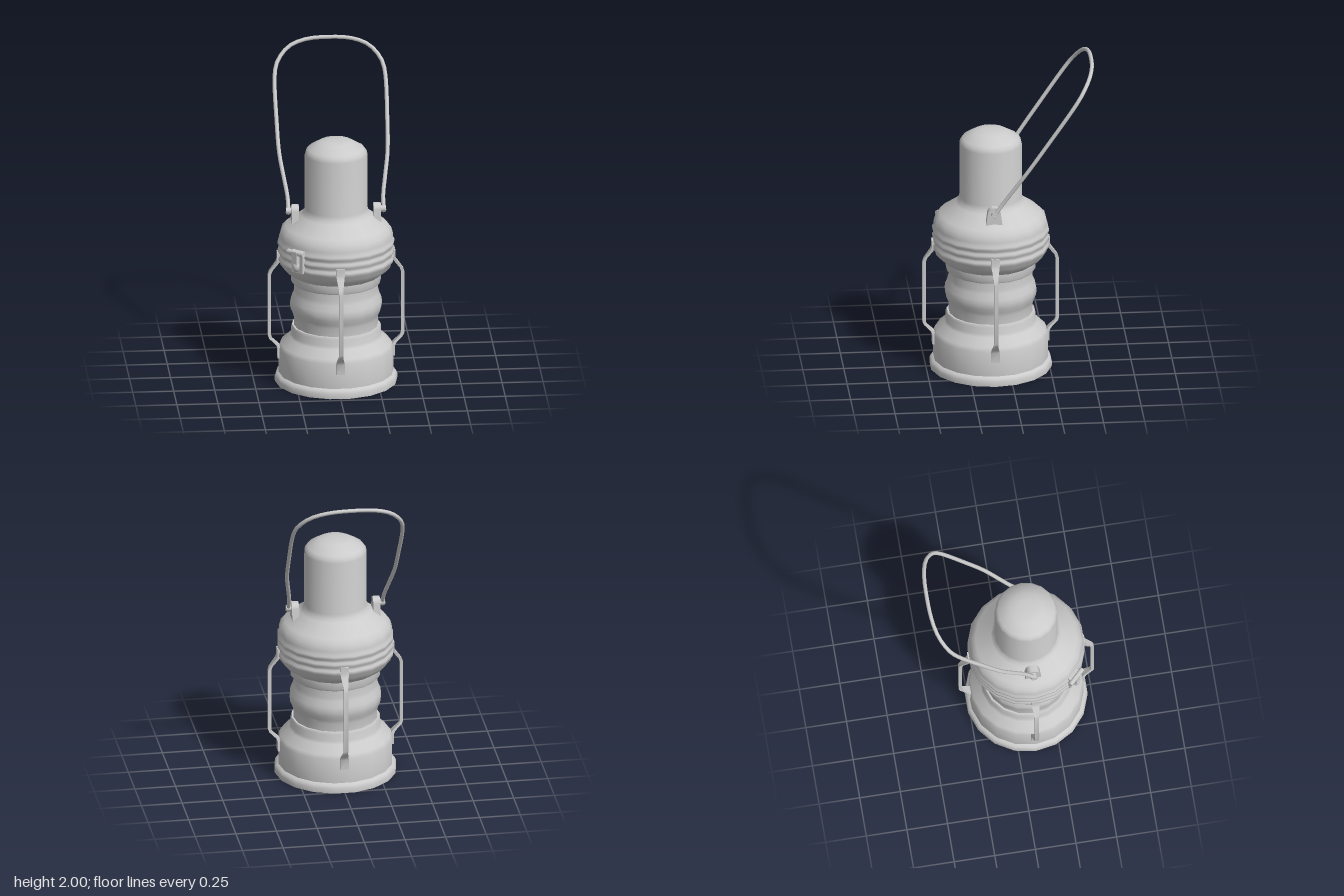
import * as THREE from 'three';
import { toCreasedNormals } from 'three/addons/utils/BufferGeometryUtils.js';

const material = new THREE.MeshStandardMaterial({ color: 0xcccccc });
const AXIS_Z = 0.105; // the lantern body stands forward of the tilted handle
const SIDES = 18;

function add(parent, name, geometry, x = 0, y = 0, z = 0) {
  const mesh = new THREE.Mesh(geometry, material);
  mesh.name = name;
  mesh.position.set(x, y, z);
  parent.add(mesh);
  return mesh;
}

// Turned part from [radius, height] pairs, listed bottom to top
function turned(profile) {
  const points = profile.map(([r, y]) => new THREE.Vector2(r, y));
  return toCreasedNormals(new THREE.LatheGeometry(points, SIDES, Math.PI / 2), 0.75);
}

// Flat bar bent outward: stations of [radius, height, width]
function guardBar(stations, thickness) {
  const last = stations.length - 1;
  const geometry = new THREE.BoxGeometry(1, 1, 1, 1, last, 1);
  const p = geometry.attributes.position;
  for (let i = 0; i < p.count; i++) {
    const [r, y, w] = stations[Math.round((p.getY(i) + 0.5) * last)];
    p.setXYZ(i, p.getX(i) * w, y, r + p.getZ(i) * thickness);
  }
  return toCreasedNormals(geometry, 0.5);
}

export function createModel() {
  const model = new THREE.Group();
  model.name = 'lantern';
  const body = new THREE.Group();
  body.name = 'body';
  body.position.z = AXIS_Z;
  model.add(body);

  // Base with foot rim and shoulder
  add(body, 'base', turned([
    [0, 0], [0.373, 0], [0.374, 0.03], [0.366, 0.048], [0.35, 0.058],
    [0.35, 0.215], [0.338, 0.24], [0.285, 0.287], [0.275, 0.305],
    [0.275, 0.345], [0.268, 0.36], [0.24, 0.36],
  ]));

  // Bulging glass
  add(body, 'glass', turned([
    [0.257, 0.35], [0.257, 0.41], [0.264, 0.435], [0.277, 0.465], [0.281, 0.495],
    [0.277, 0.525], [0.262, 0.56], [0.257, 0.585], [0.257, 0.65],
  ]));

  // Upper housing with three shallow ridges, then chimney and domed cap
  const ridges = [0.79, 0.84, 0.89].flatMap((y) => [
    [0.348, y - 0.018], [0.356, y - 0.008], [0.356, y + 0.008], [0.348, y + 0.018],
  ]);
  add(body, 'housing', turned([
    [0.24, 0.635], [0.27, 0.635], [0.275, 0.645], [0.275, 0.69],
    [0.315, 0.72], [0.341, 0.75], ...ridges,
    [0.348, 0.93], [0.337, 0.97], [0.31, 0.998], [0.215, 1.065], [0.198, 1.085], [0.191, 1.11],
    [0.191, 1.45], [0.186, 1.47], [0.172, 1.488], [0.1, 1.531], [0.05, 1.537], [0, 1.539],
  ]));

  // Four guard bars around the glass
  const stations = [
    [0.347, 0.15, 0.052], [0.347, 0.215, 0.052], [0.357, 0.235, 0.044], [0.398, 0.275, 0.027],
    [0.406, 0.295, 0.025], [0.406, 0.685, 0.025], [0.398, 0.71, 0.027],
    [0.357, 0.765, 0.046], [0.35, 0.785, 0.052], [0.35, 0.83, 0.052],
  ];
  for (let i = 0; i < 4; i++) {
    add(body, 'guardBar', guardBar(stations, 0.02)).rotation.y = i * Math.PI / 2;
  }

  // Latch on the front right of the housing
  const latch = new THREE.Group();
  latch.name = 'latch';
  latch.rotation.y = -Math.PI / 4;
  body.add(latch);
  add(latch, 'latchPlate', new THREE.BoxGeometry(0.085, 0.14, 0.03), 0, 0.85, 0.35);
  add(latch, 'latchLever', new THREE.BoxGeometry(0.04, 0.08, 0.025), 0, 0.88, 0.378);
  add(latch, 'latchBar', new THREE.CylinderGeometry(0.016, 0.016, 0.125, 8), 0, 0.91, 0.375)
    .rotation.z = Math.PI / 2;
  const knob = add(latch, 'latchKnob', new THREE.SphereGeometry(0.024, 10, 8), 0, 0.825, 0.372);
  knob.scale.y = 1.5;

  // Lugs and pivots that carry the handle
  const lugShape = new THREE.Shape();
  lugShape.moveTo(-0.05, -0.07);
  lugShape.lineTo(0.05, -0.07);
  lugShape.lineTo(0.04, 0);
  lugShape.absarc(0, 0, 0.04, 0, Math.PI, false);
  const lugGeometry = toCreasedNormals(new THREE.ExtrudeGeometry(lugShape, {
    depth: 0.044, bevelEnabled: false, curveSegments: 8,
  }).translate(0, 0, -0.022).rotateY(Math.PI / 2), 0.6);
  for (const side of [-1, 1]) {
    add(body, 'handleLug', lugGeometry, side * 0.25, 1.09, 0);
    add(body, 'handlePivot', new THREE.CylinderGeometry(0.02, 0.02, 0.075, 10), side * 0.267, 1.09, 0)
      .rotation.z = Math.PI / 2;
  }

  // Bail handle, leaning back
  const half = [
    [0.29, 1.08], [0.291, 1.16], [0.308, 1.26], [0.33, 1.39], [0.337, 1.55], [0.336, 1.8],
    [0.318, 1.865], [0.25, 1.94], [0.15, 1.978],
  ];
  const outline = [
    ...half.map(([x, y]) => [-x, y]), [0, 1.989], ...half.slice().reverse(),
  ];
  const path = new THREE.CatmullRomCurve3(outline.map(([x, y]) =>
    new THREE.Vector3(x, y, AXIS_Z - (y - 1.09) * 0.68)), false, 'centripetal');
  add(model, 'handle', new THREE.TubeGeometry(path, 56, 0.0125, 8));
  for (const side of [-1, 1]) {
    add(model, 'handleEnd', new THREE.SphereGeometry(0.017, 10, 8), side * 0.29, 1.083, AXIS_Z);
  }
  return model;
}
